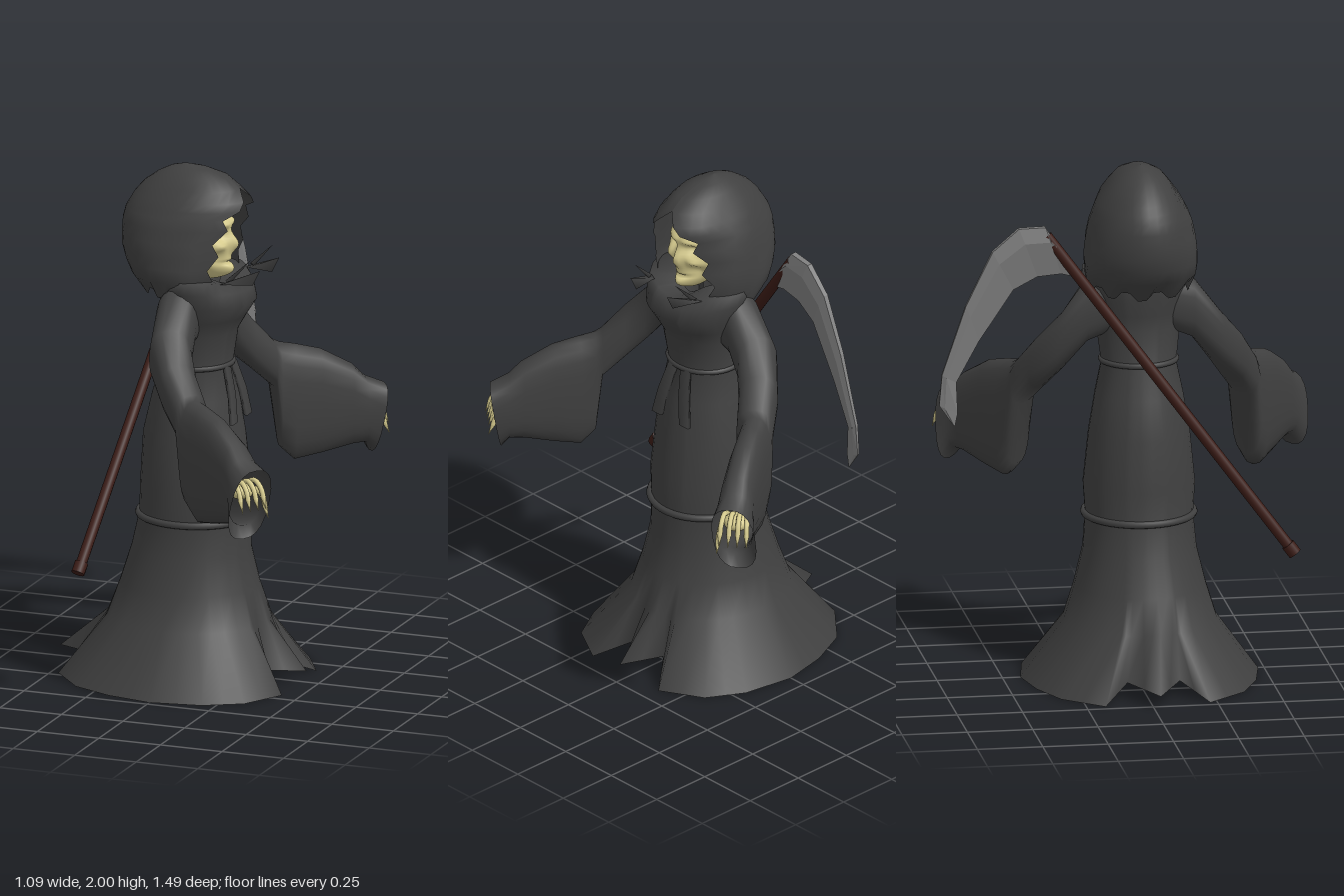
import * as THREE from 'three';

const V = (x, y, z) => new THREE.Vector3(x, y, z);
const mat = (color, flatShading = false) =>
  new THREE.MeshStandardMaterial({ color, flatShading, side: THREE.DoubleSide });
const cloth = mat(0x404040), bone = mat(0xd6cb8e), wood = mat(0x3c1c16), steel = mat(0x808080, true);

// Skin between successive rings of points
function loft(rings, closed = true) {
  const n = rings[0].length, index = [];
  for (let r = 0; r < rings.length - 1; r++) {
    for (let i = 0; i < (closed ? n : n - 1); i++) {
      const a = r * n + i, b = r * n + (i + 1) % n;
      index.push(a, a + n, b, b, a + n, b + n);
    }
  }
  const g = new THREE.BufferGeometry().setFromPoints(rings.flat());
  g.setIndex(index);
  g.computeVertexNormals();
  return g;
}

function add(parent, name, geometry, material) {
  const m = new THREE.Mesh(geometry, material);
  m.name = name;
  parent.add(m);
  return m;
}

// Robe: ragged hem rising through elliptical rows to the collar
function robeGeometry() {
  const half = [[.46, 0, .05], [.31, .08, .06], [.43, .18, 0], [.34, .34, 0], [.2, .42, 0], [0, .455, 0],
    [-.18, .42, 0], [-.34, .35, 0], [-.47, .2, 0], [-.36, .1, .06], [-.54, 0, .05]];
  const corners = [...half, ...half.slice(1, -1).reverse().map(([x, z, y]) => [x, -z, y])]
    .map(([x, z, y]) => V(x, y, z));
  const hem = corners.flatMap((p, i) => [p, p.clone().lerp(corners[(i + 1) % corners.length], .5)]);
  // y, back x, front x, half depth in z, dip at the front
  const rows = [[.23, -.33, .30, .29], [.36, -.28, .255, .25], [.5, -.235, .222, .216], [.63, -.205, .222, .205],
    [.75, -.2, .22, .213], [.95, -.19, .2, .193], [1.1, -.155, .175, .168], [1.22, -.12, .15, .143],
    [1.36, -.1, .17, .16], [1.42, -.11, .205, .178], [1.48, -.12, .243, .2], [1.54, -.125, .228, .213, .01],
    [1.585, -.12, .2, .212, .03], [1.59, -.06, .1, .11, .05]];
  return loft([hem, ...rows.map(([y, b, f, hz, dip = 0]) => hem.map(p => {
    const t = Math.atan2(p.z, p.x);
    return V((b + f) / 2 + (f - b) / 2 * Math.cos(t), y - dip * Math.max(0, Math.cos(t)) ** 6, hz * Math.sin(t));
  }))]);
}

// Hood: open at the face with a jagged rim and ragged lower edge
function hoodGeometry() {
  // y, back x, front x, half depth, half angle of the opening in degrees
  const rows = [[1.535, -.17, .16, .195, 52], [1.58, -.235, .18, .215, 40], [1.63, -.26, .195, .217, 48],
    [1.68, -.275, .2, .212, 37], [1.73, -.277, .21, .204, 46], [1.78, -.275, .225, .192, 34],
    [1.82, -.265, .23, .178, 42], [1.85, -.248, .242, .164, 26], [1.88, -.23, .23, .148, 16],
    [1.92, -.195, .19, .12, 0], [1.96, -.14, .14, .087, 0], [1.985, -.09, .065, .045, 0], [2, -.03, -.03, 0, 0]];
  const n = 28;
  return loft(rows.map(([y, b, f, hz, gap], r) => Array.from({ length: n + 1 }, (_, i) => {
    const g = gap * Math.PI / 180, t = g + (2 * Math.PI - 2 * g) * i / n;
    const rag = r === 0 ? (i % 4 < 2 ? .015 : -.015) - .02 * Math.max(0, -Math.cos(t)) : 0;
    const fold = 1 + (r < 10 ? .02 * Math.sin(t * 6 + r * .8) : 0);
    return V((b + f) / 2 + (f - b) / 2 * Math.cos(t), y + rag, hz * Math.sin(t) * fold);
  })), false);
}

// Skull: a sphere shaped by dents and bumps on its +x side
function skullGeometry() {
  const g = new THREE.SphereGeometry(1, 56, 48), p = g.attributes.position;
  const bump = (y, z, cy, cz, sy, sz) => Math.exp(-(((y - cy) / sy) ** 2) - ((z - cz) / sz) ** 2);
  for (let i = 0; i < p.count; i++) {
    const x = p.getX(i), y = p.getY(i), z = p.getZ(i), az = Math.abs(z);
    let d = 0;
    if (x > 0) {
      d = -.042 * bump(y, az, .18, .44, .13, .22) + .016 * bump(y, az, .42, .35, .1, .4)
        + .03 * bump(y, z, -.08, 0, .22, .12) + .016 * bump(y, az, -.12, .6, .1, .2)
        - .026 * bump(y, az, -.38, .6, .18, .2) - .022 * bump(y, z, -.56, 0, .04, .4)
        + .045 * bump(y, z, -.78, 0, .25, .45);
    }
    const jaw = y < -.1 ? 1 - .42 * (-.1 - y) : 1;
    p.setXYZ(i, .05 + .105 * x + d, 1.715 + .157 * y, .115 * z * jaw);
  }
  g.computeVertexNormals();
  return g;
}

// Arm and bell sleeve: tall rounded-box sections; s picks the side
function sleeveGeometry(s) {
  // x, z, top y, bottom y, half width
  const rows = [[.01, .1, 1.565, 1.35, .08], [.01, .2, 1.55, 1.31, .08], [.02, .29, 1.42, 1.2, .08],
    [.085, .365, 1.31, 1.11, .075], [.155, .42, 1.215, 1.03, .07], [.175, .44, 1.2, .79, .068],
    [.225, .47, 1.19, .735, .068], [.31, .525, 1.165, .755, .068], [.41, .59, 1.1, .785, .068],
    [.45, .62, 1.05, .79, .072], [.487, .655, 1.02, .745, .08]];
  const soft = v => Math.sign(v) * Math.abs(v) ** .78;
  return loft(rows.map(([x, z, top, bot, w], r) => {
    const a = rows[Math.max(r - 1, 0)], b = rows[Math.min(r + 1, rows.length - 1)];
    const dx = b[0] - a[0], dz = b[1] - a[1], l = Math.hypot(dx, dz);
    // the cuff leans back at the bottom
    const lean = r === rows.length - 1 ? .03 : 0;
    return Array.from({ length: 20 }, (_, i) => {
      const t = i / 20 * Math.PI * 2, c = soft(Math.cos(t)) * w, v = soft(Math.sin(t));
      return V(x - dz / l * c + lean * v, (top + bot) / 2 + (top - bot) / 2 * v, s * (z + dx / l * c));
    });
  }));
}

// Bony hand with curled, pointed fingers
function addHand(parent, s) {
  const hand = new THREE.Group();
  hand.name = s > 0 ? 'rearHand' : 'foreHand';
  const at = (f, o, y) => V(.42 + .8 * f - .6 * o, y, s * (.605 + .6 * f + .8 * o));
  const palm = add(hand, 'palm', new THREE.SphereGeometry(1, 16, 12), bone);
  palm.scale.set(.05, .033, .05);
  palm.position.copy(at(.02, 0, .925));
  for (let i = 0; i < 5; i++) {
    const thumb = i === 4, o = thumb ? -.045 : (i - 1.5) * .026, low = thumb ? .035 : 0;
    const pts = [[-.01, .94], [.045, .965], [.085, .94], [.1, .905]]
      .map(([f, y]) => at(f, o * (1 + 3 * f), y - low));
    add(hand, thumb ? 'thumb' : 'finger', new THREE.TubeGeometry(new THREE.CatmullRomCurve3(pts), 10, .01, 8), bone);
    const dir = pts[3].clone().sub(pts[2]).normalize();
    const tip = add(hand, 'fingertip', new THREE.ConeGeometry(.01, .05, 8), bone);
    tip.position.copy(pts[3]).addScaledVector(dir, .022);
    tip.quaternion.setFromUnitVectors(V(0, 1, 0), dir);
  }
  parent.add(hand);
}

function ellipseBand(y, cx, rx, rz, r) {
  const pts = Array.from({ length: 24 }, (_, i) => {
    const t = i / 24 * Math.PI * 2;
    return V(cx + rx * Math.cos(t), y, rz * Math.sin(t));
  });
  return new THREE.TubeGeometry(new THREE.CatmullRomCurve3(pts, true), 64, r, 8, true);
}

function addScythe(parent) {
  const scythe = new THREE.Group();
  scythe.name = 'scythe';
  const foot = V(-.25, .51, .58), head = V(-.09, 1.75, -.345), dir = head.clone().sub(foot);
  const rod = (name, r, length, center) => {
    const m = add(scythe, name, new THREE.CylinderGeometry(r, r, length, 12), wood);
    m.position.copy(center);
    m.quaternion.setFromUnitVectors(V(0, 1, 0), dir.clone().normalize());
  };
  rod('handle', .021, dir.length(), foot.clone().lerp(head, .5));
  rod('handleKnob', .026, .045, foot.clone().lerp(head, .014));

  // Blade: wedge sections from thick spine to sharp inner edge
  // spine z, spine y, edge z, edge y, half thickness
  const rows = [[-.325, 1.745, -.225, 1.585, .02], [-.35, 1.785, -.29, 1.6, .024], [-.45, 1.78, -.38, 1.59, .022],
    [-.55, 1.69, -.47, 1.54, .02], [-.65, 1.48, -.6, 1.34, .016], [-.74, 1.21, -.685, 1.18, .012],
    [-.75, 1.09, -.68, 1.06, .008], [-.695, 1.01, -.69, 1.01, .001]];
  const px = z => -.09 + (-z - .35) * .1;
  const rings = rows.map(([sz, sy, ez, ey, t]) => {
    const mz = sz + (ez - sz) * .3, my = sy + (ey - sy) * .3;
    return [V(px(sz) - t * .5, sy, sz), V(px(sz) + t * .5, sy, sz), V(px(mz) + t, my, mz),
      V(px(ez), ey, ez), V(px(mz) - t, my, mz)];
  });
  const c = V(px(-.28), 1.665, -.28);
  add(scythe, 'blade', loft([rings[0].map(() => c), ...rings]), steel);
  parent.add(scythe);
}

export function createModel() {
  const model = new THREE.Group(), body = new THREE.Group();
  model.name = 'hoodedReaper';
  body.name = 'figure';
  body.position.z = .023;
  model.add(body);

  add(body, 'robe', robeGeometry(), cloth);
  add(body, 'hood', hoodGeometry(), cloth);
  add(body, 'skull', skullGeometry(), bone);
  add(body, 'belt', ellipseBand(1.23, .015, .136, .143, .011), cloth);
  add(body, 'skirtBand', ellipseBand(.632, .01, .217, .208, .014), cloth);

  for (const s of [1, -1]) {
    add(body, 'sleeve', sleeveGeometry(s), cloth);
    addHand(body, s);
    // Sash tail hanging from the belt
    const tail = [[1.23, .155, .01, .055], [1.12, .185, .03, .08], [1.015, .2, .05, .1]];
    add(body, 'sashTail', loft(tail.map(([y, x, a, b]) => [V(x, y, s * a), V(x, y, s * b),
      V(x - .014, y, s * b), V(x - .014, y, s * a)])), cloth);
    // Torn collar points: a broad low one and a thin raised one
    for (const [name, base, tip] of [['collarPoint', [V(.16, 1.575, s * .14), V(.28, 1.575, s * .1), V(.18, 1.58, s * .105)],
      V(.31, 1.635, s * .1)], ['collarSpike', [V(.18, 1.59, s * .13), V(.2, 1.585, s * .115), V(.19, 1.6, s * .11)],
      V(.28, 1.68, s * .11)]]) {
      add(body, name, loft([base, base.map(() => tip)]), cloth);
    }
  }
  addScythe(model);
  return model;
}
